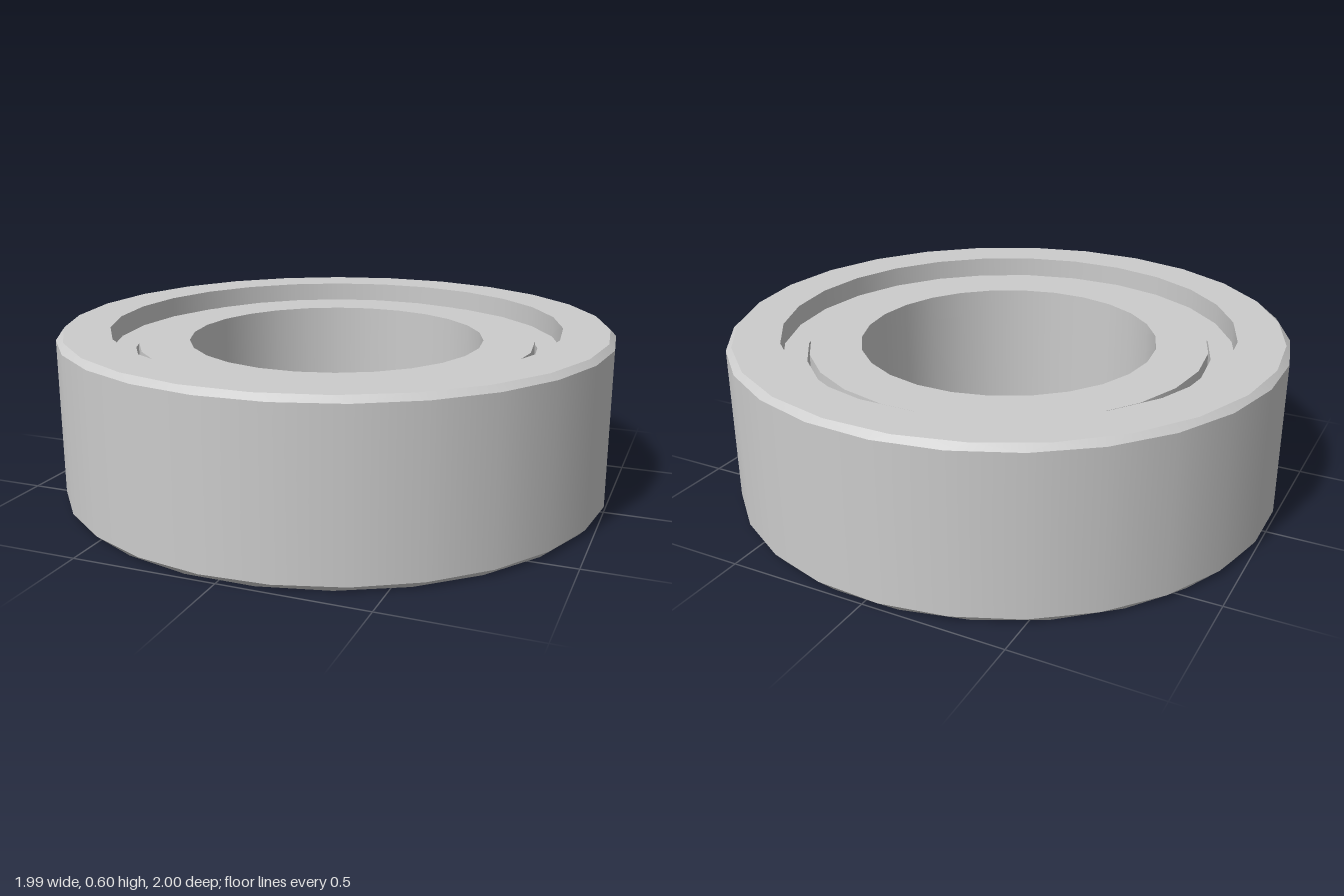
import * as THREE from 'three';

// Turned ring from a closed profile of [radius, y, sides]; every band is smooth
// around the axis and sharp against its neighbours. Bands may join circles with
// different side counts.
function turnedRing(name, profile) {
  const positions = [], normals = [];
  const vertex = ([r, y, n], i, nr, ny) => {
    const t = (i / n) * Math.PI * 2, c = Math.cos(t), s = -Math.sin(t);
    positions.push(r * c, y, r * s);
    normals.push(nr * c, ny, nr * s);
  };
  profile.forEach((a, k) => {
    const b = profile[(k + 1) % profile.length];
    const dr = b[0] - a[0], dy = b[1] - a[1], len = Math.hypot(dr, dy);
    const nr = dy / len, ny = -dr / len;
    let i = 0, j = 0;
    while (i < a[2] || j < b[2]) {
      vertex(a, i, nr, ny);
      if ((i + 1) / a[2] <= (j + 1) / b[2]) {
        vertex(a, ++i, nr, ny);
        vertex(b, j, nr, ny);
      } else {
        vertex(b, j + 1, nr, ny);
        vertex(b, j++, nr, ny);
      }
    }
  });
  const geometry = new THREE.BufferGeometry();
  geometry.setAttribute('position', new THREE.Float32BufferAttribute(positions, 3));
  geometry.setAttribute('normal', new THREE.Float32BufferAttribute(normals, 3));
  const mesh = new THREE.Mesh(geometry, new THREE.MeshStandardMaterial({ color: 0xcccccc }));
  mesh.name = name;
  return mesh;
}

export function createModel() {
  const group = new THREE.Group();
  group.name = 'bearing';
  const N = 26;

  // Outer race: chamfered rims, with a recessed shield lip on both faces
  group.add(turnedRing('outerRace', [
    [0.98, 0, N], [1, 0.02, 27], [1, 0.58, 27], [0.98, 0.6, N],
    [0.815, 0.6, N], [0.815, 0.525, N], [0.728, 0.525, N],
    [0.728, 0.075, N], [0.815, 0.075, N], [0.815, 0, N],
  ]));

  // Inner race: plain bore, with a narrow collar standing out underneath
  group.add(turnedRing('innerRace', [
    [0.535, 0, N], [0.63, 0, N], [0.63, 0.05, N], [0.718, 0.05, N],
    [0.718, 0.548, N], [0.535, 0.548, N],
  ]));

  return group;
}
